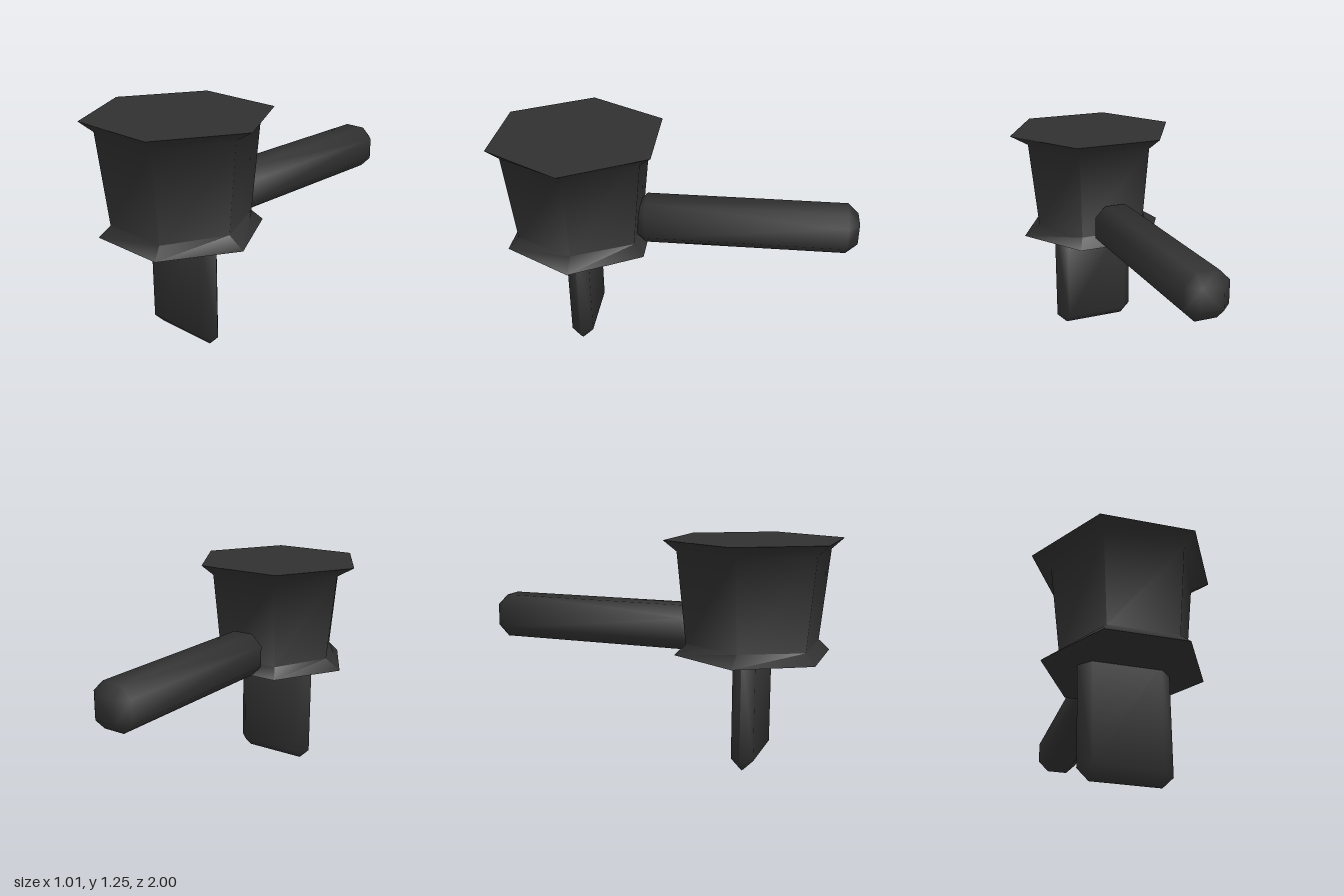
import * as THREE from 'three';
import { toCreasedNormals } from 'three/addons/utils/BufferGeometryUtils.js';
import { ConvexGeometry } from 'three/addons/geometries/ConvexGeometry.js';

const CENTER_Z = 0.5615;

// Box with every edge chamfered by b; w, h, d are half sizes
function chamferedBox(w, h, d, b) {
  const points = [];
  for (const x of [-1, 1]) for (const y of [-1, 1]) for (const z of [-1, 1]) {
    points.push(
      new THREE.Vector3(x * w, y * (h - b), z * (d - b)),
      new THREE.Vector3(x * (w - b), y * h, z * (d - b)),
      new THREE.Vector3(x * (w - b), y * (h - b), z * d)
    );
  }
  return toCreasedNormals(new ConvexGeometry(points), 1.1);
}

// Closed six-sided solid through rings of [y, side corner x, front corner x, front z]
function hexSolid(rings) {
  const positions = [], index = [];
  for (const [y, rx, cx, rz] of rings) {
    for (const [x, z] of [[rx, 0], [cx, -rz], [-cx, -rz], [-rx, 0], [-cx, rz], [cx, rz]]) {
      positions.push(x, y, z);
    }
  }
  for (let r = 0; r < rings.length - 1; r++) {
    for (let i = 0; i < 6; i++) {
      const a = r * 6 + i, b = r * 6 + (i + 1) % 6;
      index.push(a, b, b + 6, a, b + 6, a + 6);
    }
  }
  const top = (rings.length - 1) * 6;
  for (let i = 1; i < 5; i++) {
    index.push(top, top + i, top + i + 1, 0, i + 1, i);
  }
  const geometry = new THREE.BufferGeometry();
  geometry.setAttribute('position', new THREE.Float32BufferAttribute(positions, 3));
  geometry.setIndex(index);
  return toCreasedNormals(geometry, 1.3);
}

export function createModel() {
  const model = new THREE.Group();
  const darkIron = new THREE.MeshStandardMaterial({ color: 0x303030 });

  function add(name, geometry, x, y, z) {
    const mesh = new THREE.Mesh(geometry, darkIron);
    mesh.name = name;
    mesh.position.set(x, y, z);
    model.add(mesh);
  }

  // Hexagonal head with flared rims at top and bottom
  add('head', hexSolid([
    [0.625, 0.443, 0.221, 0.384],
    [0.685, 0.348, 0.19, 0.328],
    [1.19, 0.4, 0.215, 0.375],
    [1.25, 0.507, 0.253, 0.4385],
  ]), 0, 0, CENTER_Z);

  // Flat blade with chamfered tip, its top sunk into the head
  add('blade', chamferedBox(0.25, 0.36, 0.0625, 0.0615), 0, 0.36, CENTER_Z);

  // Long handle reaching backwards
  add('handle', chamferedBox(0.125, 0.125, 0.625, 0.0625), 0, 0.75, -0.375);

  return model;
}
